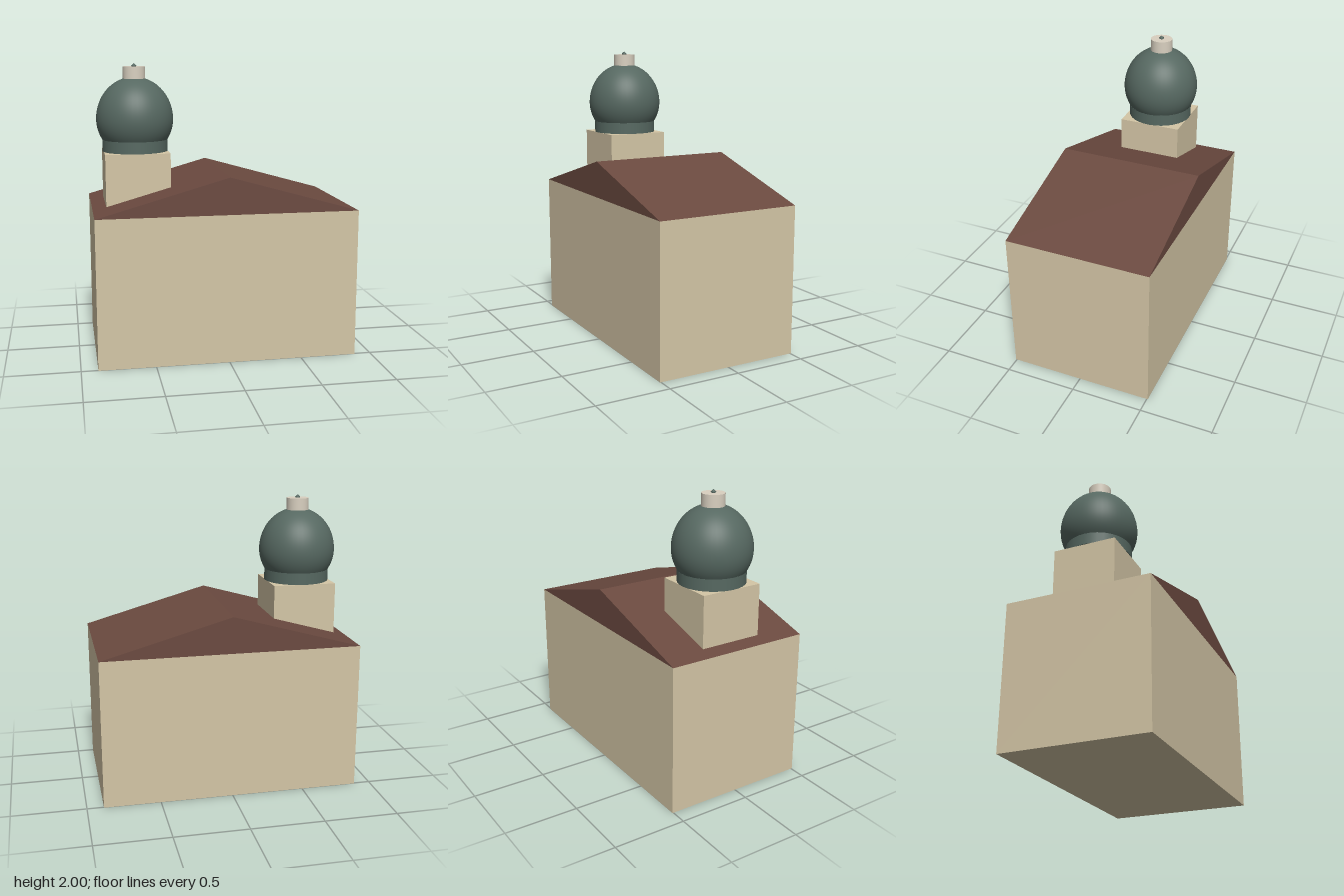
import * as THREE from 'three';

const material = (color) => new THREE.MeshStandardMaterial({ color });
const stone = material(0xd4c6a6);
const tile = material(0x6b4a40);
const copper = material(0x566861);
const pale = material(0xd9d0c0);

const W = 0.887, D = 0.507, EAVES = 1.02, RIDGE = 1.27; // half width, half depth, heights
const TOWER_X = -0.575;

function add(parent, name, geometry, mat, x, y, z) {
  const mesh = new THREE.Mesh(geometry, mat);
  mesh.name = name;
  mesh.position.set(x, y, z);
  parent.add(mesh);
  return mesh;
}

// Bulb profile: rounder below the widest line, slightly taller above it
function domeProfile() {
  const points = [];
  const start = -0.56, steps = 28;
  for (let i = 0; i <= steps; i++) {
    const a = start + (Math.PI / 2 - start) * (i / steps);
    const height = a < 0 ? 0.265 : 0.288;
    points.push(new THREE.Vector2(Math.max(0, 0.265 * Math.cos(a)), height * Math.sin(a)));
  }
  return points;
}

export function createModel() {
  const model = new THREE.Group();
  model.name = 'domedTowerHouse';

  // Main block
  add(model, 'walls', new THREE.BoxGeometry(2 * W, EAVES, 2 * D), stone, 0, EAVES / 2, 0);

  // Gabled roof, ridge running front to back
  const gable = new THREE.Shape();
  gable.moveTo(-W, EAVES);
  gable.lineTo(W, EAVES);
  gable.lineTo(0, RIDGE);
  gable.closePath();
  const roof = new THREE.ExtrudeGeometry(gable, { depth: 2 * D, bevelEnabled: false });
  add(model, 'roof', roof, tile, 0, 0, -D);

  // Tower rising through the roof
  const tower = new THREE.Group();
  tower.name = 'tower';
  tower.position.x = TOWER_X;
  model.add(tower);
  add(tower, 'towerBase', new THREE.BoxGeometry(0.44, 0.38, 0.44), stone, 0, 1.21, 0);
  add(tower, 'drum', new THREE.CylinderGeometry(0.226, 0.226, 0.08, 32), copper, 0, 1.44, 0);
  add(tower, 'dome', new THREE.LatheGeometry(domeProfile(), 48), copper, 0, 1.62, 0);
  add(tower, 'lantern', new THREE.CylinderGeometry(0.077, 0.077, 0.1, 32), pale, 0, 1.928, 0);

  // Small pointed finial
  const tip = [[0, 0], [0.013, 0], [0.018, 0.008], [0.009, 0.018], [0, 0.025]]
    .map(([r, y]) => new THREE.Vector2(r, y));
  add(tower, 'finial', new THREE.LatheGeometry(tip, 16), copper, 0, 1.975, 0);

  return model;
}
